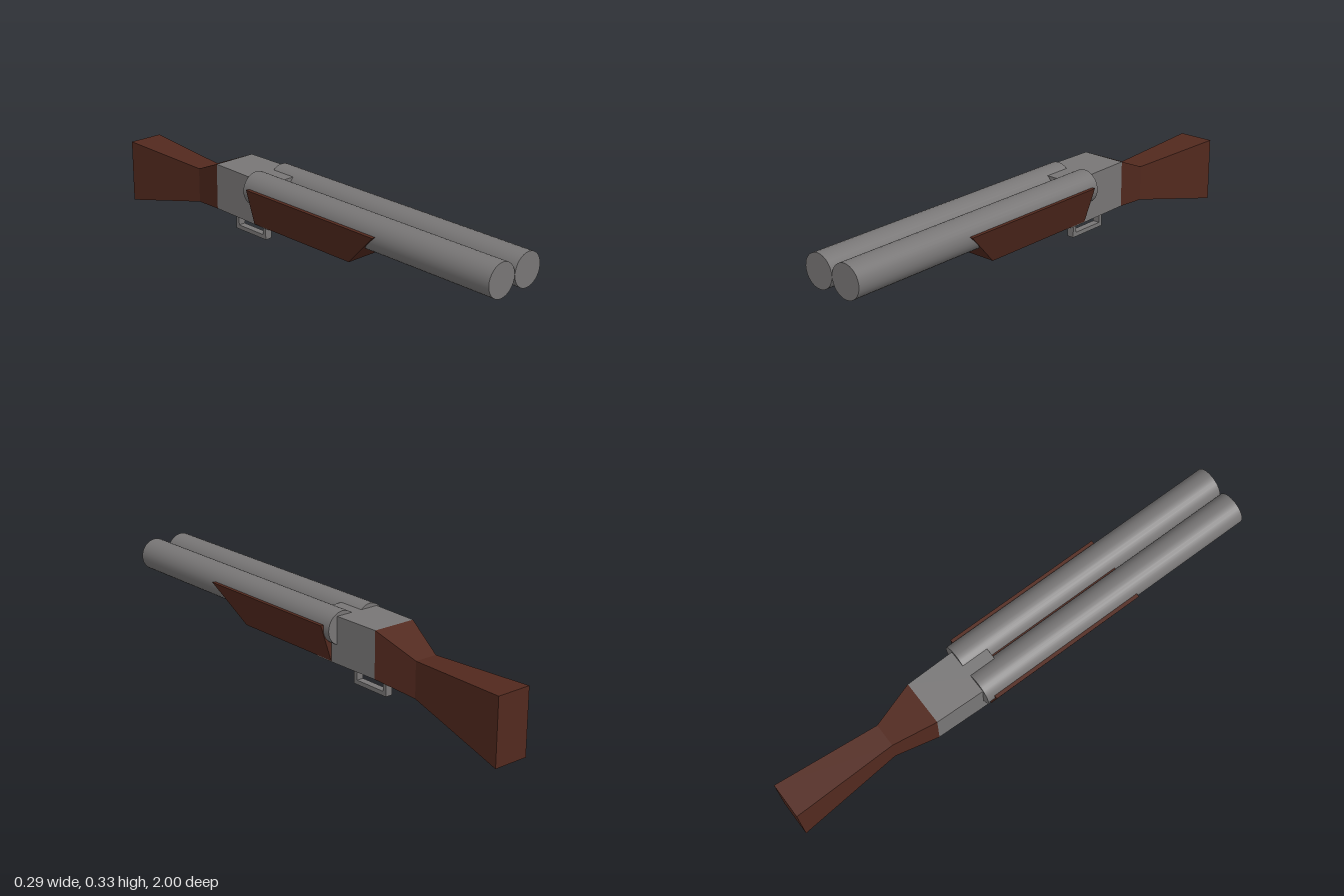
import * as THREE from 'three';

// One section of four corners, counter-clockwise as seen from +z
function section(z, left, right, bottom, top) {
  return [[left, bottom, z], [right, bottom, z], [right, top, z], [left, top, z]];
}

// Closed, flat-faced loft through four-cornered sections ordered from back to front
function loft(sections) {
  const index = [];
  const quad = (a, b, c, d) => index.push(a, b, c, a, c, d);
  for (let s = 0; s < sections.length - 1; s++) {
    for (let i = 0; i < 4; i++) {
      const j = (i + 1) % 4, a = s * 4, b = a + 4;
      quad(a + i, a + j, b + j, b + i);
    }
  }
  const f = (sections.length - 1) * 4;
  quad(3, 2, 1, 0);
  quad(f, f + 1, f + 2, f + 3);
  const geometry = new THREE.BufferGeometry();
  geometry.setAttribute('position', new THREE.Float32BufferAttribute(sections.flat(2), 3));
  geometry.setIndex(index);
  const flat = geometry.toNonIndexed();
  flat.computeVertexNormals();
  return flat;
}

export function createModel() {
  const group = new THREE.Group();
  const steel = new THREE.MeshStandardMaterial({ color: 0x787676 });
  steel.name = 'steel grey';
  const wood = new THREE.MeshStandardMaterial({ color: 0x52291e });
  wood.name = 'dark wood';

  const add = (name, geometry, material, parent = group) => {
    const mesh = new THREE.Mesh(geometry, material);
    mesh.name = name;
    parent.add(mesh);
    return mesh;
  };

  // Twin barrels
  for (const side of [1, -1]) {
    const barrel = add(side > 0 ? 'leftBarrel' : 'rightBarrel',
      new THREE.CylinderGeometry(0.065, 0.065, 1.205, 32), steel);
    barrel.rotation.x = Math.PI / 2;
    barrel.position.set(side * 0.0655, 0.268, 0.3975);
  }

  // Receiver, running forward between the barrels
  add('receiver', loft([
    section(-0.405, -0.093, 0.087, 0.134, 0.317),
    section(-0.095, -0.102, 0.093, 0.134, 0.317),
  ]), steel);

  // Shoulder stock: narrow wrist flaring to the butt
  add('stock', loft([
    section(-1, -0.058, 0.086, 0, 0.257),
    section(-0.575, -0.045, 0.05, 0.104, 0.244),
    section(-0.405, -0.093, 0.087, 0.134, 0.317),
  ]), wood);

  // Fore grip: trapezoid section with an undercut front
  add('foreGrip', loft([
    [[-0.104, 0.138, -0.175], [0.093, 0.138, -0.175], [0.142, 0.284, -0.175], [-0.143, 0.284, -0.175]],
    [[-0.104, 0.138, 0.335], [0.093, 0.138, 0.335], [0.142, 0.284, 0.487], [-0.143, 0.284, 0.487]],
  ]), wood);

  // Trigger guard and trigger
  const guard = new THREE.Group();
  guard.name = 'triggerGuard';
  group.add(guard);
  const bar = (name, y, z, w, h, d, parent) =>
    add(name, new THREE.BoxGeometry(w, h, d), steel, parent).position.set(-0.004, y, z);
  bar('guardBase', 0.0485, -0.295, 0.029, 0.017, 0.174, guard);
  bar('guardFrontPost', 0.097, -0.2165, 0.029, 0.08, 0.017, guard);
  bar('guardRearPost', 0.097, -0.3735, 0.029, 0.08, 0.017, guard);
  bar('trigger', 0.119, -0.3, 0.036, 0.04, 0.03, group);

  return group;
}
